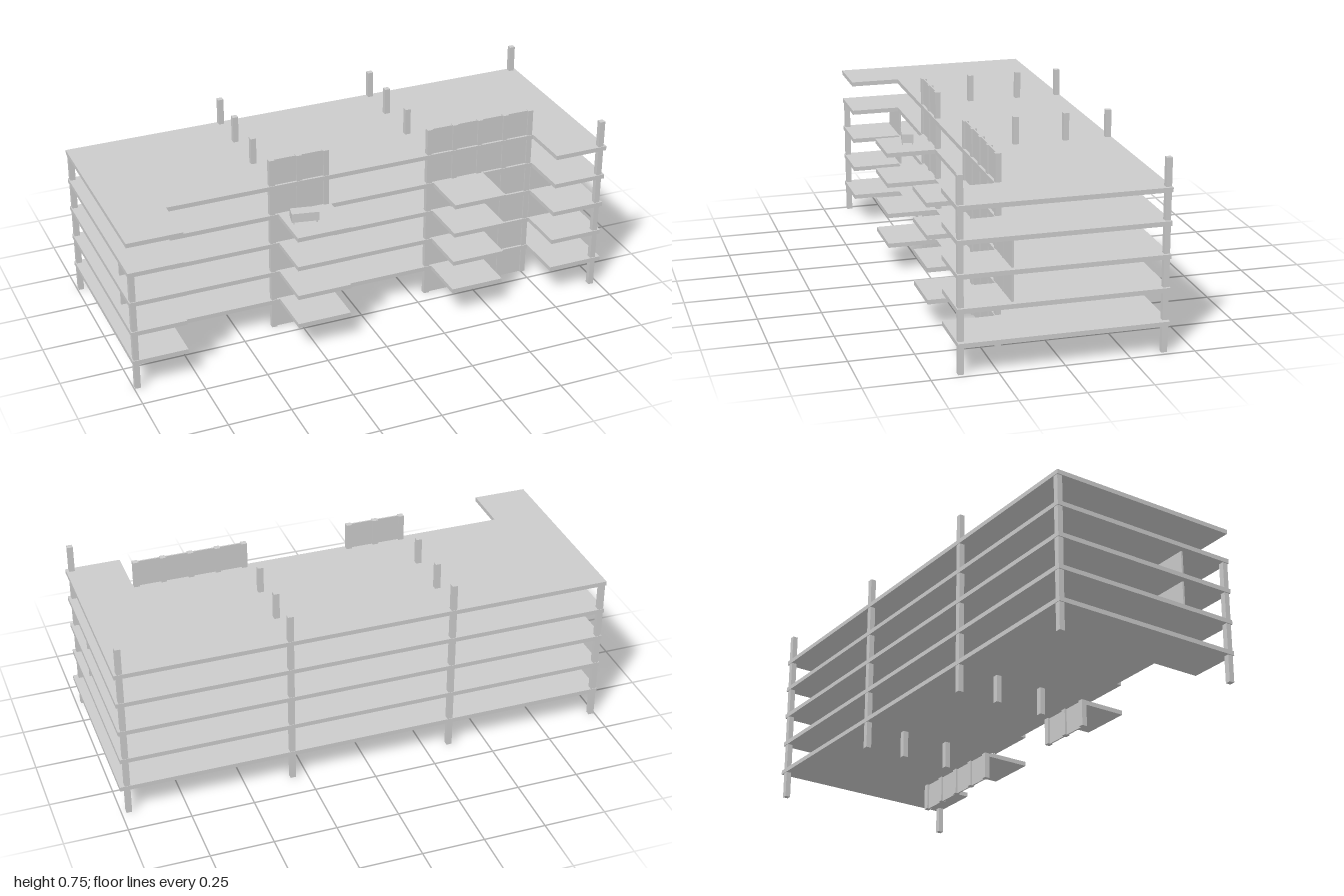
import * as THREE from 'three';

export function createModel() {
  const model = new THREE.Group();
  const material = new THREE.MeshStandardMaterial({ color: 0xcccccc, flatShading: true });

  // Box given by its x, y and z ranges
  function box(name, x0, x1, y0, y1, z0, z1, parent = model) {
    const mesh = new THREE.Mesh(new THREE.BoxGeometry(x1 - x0, y1 - y0, z1 - z0), material);
    mesh.position.set((x0 + x1) / 2, (y0 + y1) / 2, (z0 + z1) / 2);
    mesh.name = name;
    parent.add(mesh);
  }
  const post = (name, x, z, top) => box(name, x - 0.011, x + 0.011, 0.003, top, z - 0.011, z + 0.011);

  // Floor slabs: end wings on every floor, balconies on all but the roof
  const back = -0.4, inner = 0.2, front = 0.4;
  const floors = [0.112, 0.24, 0.369, 0.496, 0.623];
  const slabHeight = 0.018;
  floors.forEach((y, i) => {
    const isRoof = i === floors.length - 1;
    const right = i === 0 ? 1 : 0.992;
    const outline = [[-1, back], [-1, front], [-0.78, front], [-0.78, inner]];
    if (!isRoof) {
      for (const [a, b] of [[-0.33, -0.11], [0.33, 0.55]]) {
        outline.push([a, inner], [a, front], [b, front], [b, inner]);
      }
    }
    outline.push([0.77, inner], [0.77, front], [right, front], [right, back]);
    const shape = new THREE.Shape(outline.map(([x, z]) => new THREE.Vector2(x, -z)));
    const geometry = new THREE.ExtrudeGeometry(shape, { depth: slabHeight, bevelEnabled: false });
    geometry.rotateX(-Math.PI / 2);
    const slab = new THREE.Mesh(geometry, material);
    slab.name = isRoof ? 'roofSlab' : 'floorSlab';
    slab.position.y = y;
    model.add(slab);
  });

  // Inner and corner columns
  const top = 0.75;
  for (const x of [-0.353, 0.308]) {
    for (const z of [-0.387, -0.215, -0.013]) post('innerColumn', x, z, top);
  }
  post('cornerColumn', 0.97, -0.387, top);
  post('cornerColumn', 0.97, 0.385, top);
  post('cornerColumn', -0.985, -0.387, 0.625);
  post('cornerColumn', -0.985, 0.385, 0.5);

  // Front walls: rows of columns with thin panels between them
  for (const row of [[-0.353, -0.241, -0.129], [0.313, 0.423, 0.533, 0.645, 0.755]]) {
    for (const x of row) post('wallColumn', x, 0.186, top);
    box('frontWall', row[0], row[row.length - 1], 0.003, top, 0.184, 0.19);
  }

  // Wing walls on the two middle storeys
  for (const [x0, x1] of [[-0.975, -0.78], [0.77, 0.97]]) {
    for (const i of [1, 2]) {
      box('wingWall', x0, x1, floors[i] + slabHeight, floors[i + 1], 0.187, 0.195);
    }
  }
  box('wingWallPost', 0.855, 0.863, floors[1] + slabHeight, floors[3], 0.185, 0.197);

  // Small unit on the upper balcony
  const unit = new THREE.Group();
  unit.name = 'balconyUnit';
  unit.position.set(-0.255, floors[3] + slabHeight, 0.283);
  unit.rotation.y = -0.2;
  box('unitBody', -0.054, 0.054, 0.009, 0.046, -0.024, 0.024, unit);
  for (const x of [-0.047, 0.043]) {
    for (const z of [-0.022, 0.018]) box('unitFoot', x, x + 0.004, 0, 0.009, z, z + 0.004, unit);
  }
  model.add(unit);

  return model;
}
